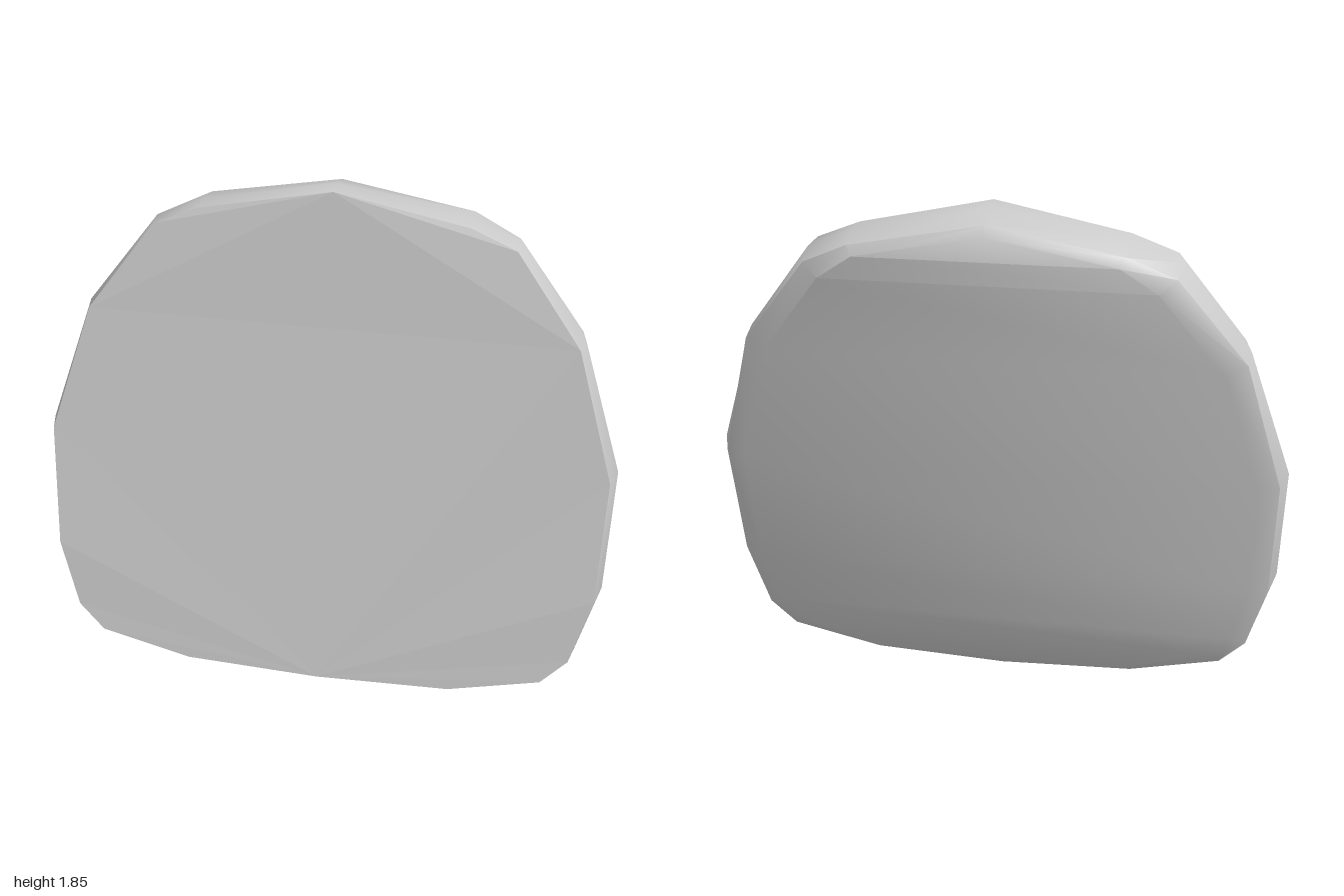
import * as THREE from 'three';
import { toCreasedNormals } from 'three/addons/utils/BufferGeometryUtils.js';

// Right-hand half of each outline, from top centre down to bottom centre
const frontEdge = [
  [0, 1.85, -0.085], [0.44, 1.76, -0.085], [0.59, 1.70, -0.07], [0.82, 1.40, 0.0], [0.97, 0.95, 0.10],
  [0.97, 0.50, 0.20], [0.91, 0.24, 0.245], [0.82, 0.14, 0.265], [0.49, 0.06, 0.28], [0, 0.045, 0.285],
];
const rimMiddle = [
  [0, 1.845, -0.16], [0.44, 1.757, -0.16], [0.60, 1.69, -0.15], [0.84, 1.385, -0.08], [1.0, 0.93, 0.0],
  [1.0, 0.485, 0.10], [0.935, 0.225, 0.15], [0.83, 0.11, 0.18], [0.49, 0.03, 0.19], [0, 0.01, 0.20],
];
const rimBack = [
  [0, 1.81, -0.265], [0.44, 1.73, -0.265], [0.595, 1.66, -0.235], [0.83, 1.37, -0.17], [0.97, 0.91, -0.08],
  [0.97, 0.46, 0.02], [0.91, 0.20, 0.07], [0.82, 0.10, 0.09], [0.49, 0.02, 0.10], [0, 0, 0.10],
];
const backEdge = [
  [0, 1.78, -0.288], [0.42, 1.70, -0.288], [0.54, 1.62, -0.272], [0.76, 1.34, -0.194], [0.90, 0.90, -0.105],
  [0.90, 0.47, -0.018], [0.85, 0.24, 0.028], [0.77, 0.15, 0.045], [0.47, 0.05, 0.065], [0, 0.03, 0.07],
];

// Complete a half outline into a closed loop by mirroring it
const mirror = (half) => [...half, ...half.slice(1, -1).reverse().map(([x, y, z]) => [-x, y, z])];

function buildGeometry(points, index) {
  const geometry = new THREE.BufferGeometry();
  geometry.setAttribute('position', new THREE.Float32BufferAttribute(points.flat(), 3));
  geometry.setIndex(index);
  geometry.computeVertexNormals();
  return geometry;
}

// Flat face with a slightly tilted crown
function frontGeometry() {
  const loop = mirror(frontEdge);
  const n = loop.length, bottom = frontEdge.length - 1, shoulder = 3;
  const index = [0, n - shoulder, shoulder];
  for (let i = shoulder; i < n - shoulder; i++) {
    if (i !== bottom && i + 1 !== bottom) index.push(bottom, i + 1, i);
  }
  index.push(bottom, shoulder, n - shoulder);
  for (let i = 1; i < shoulder; i++) {
    index.push(0, i + 1, i, 0, n - i, n - i - 1);
  }
  return buildGeometry(loop, index);
}

// Bulging rim, rounded back edge and back face
function shellGeometry() {
  const rings = [frontEdge, rimMiddle, rimBack, backEdge].map(mirror);
  const n = rings[0].length, index = [];
  for (let r = 0; r < rings.length - 1; r++) {
    for (let i = 0; i < n; i++) {
      const a = r * n + i, b = r * n + (i + 1) % n;
      index.push(a, b, b + n, a, b + n, a + n);
    }
  }
  // Back face closed by strips running from side to side
  const base = (rings.length - 1) * n;
  const rows = backEdge.length - 1;
  for (let i = 0; i < rows; i++) {
    const r0 = base + i, r1 = r0 + 1;
    const l0 = base + (n - i) % n, l1 = base + n - i - 1;
    if (r1 !== l1) index.push(r0, r1, l1);
    if (r0 !== l0) index.push(r0, l1, l0);
  }
  return toCreasedNormals(buildGeometry(rings.flat(), index), 0.7);
}

export function createModel() {
  const group = new THREE.Group();
  group.name = 'backrestCushion';

  const front = new THREE.Mesh(
    frontGeometry(),
    new THREE.MeshStandardMaterial({ color: 0xcccccc, flatShading: true })
  );
  front.name = 'frontPanel';

  const shell = new THREE.Mesh(shellGeometry(), new THREE.MeshStandardMaterial({ color: 0xcccccc }));
  shell.name = 'rimAndBack';

  group.add(front, shell);
  return group;
}
